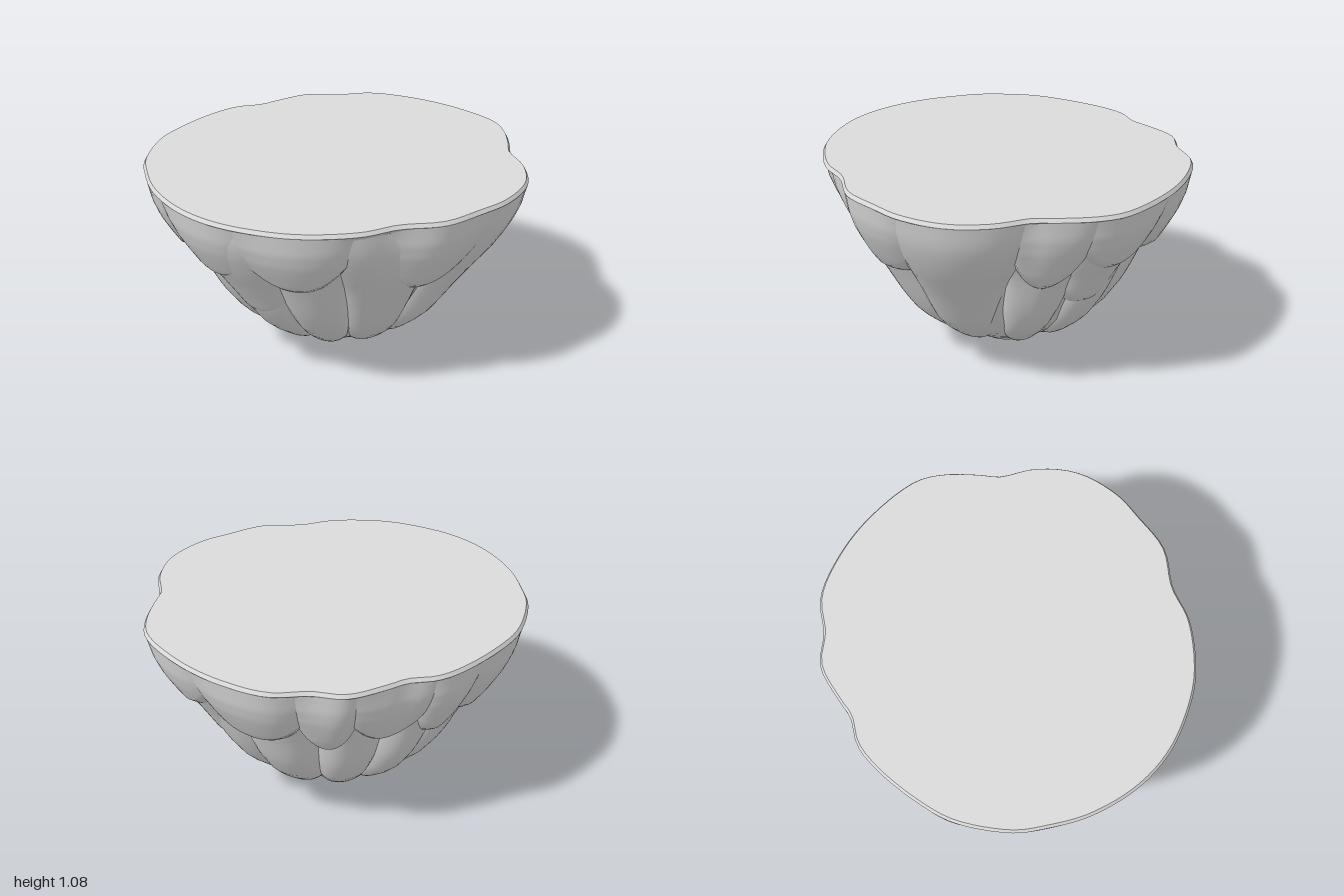
import * as THREE from 'three';
import { toCreasedNormals } from 'three/addons/utils/BufferGeometryUtils.js';

const RIM_Y = 1.06, TOP_Y = 1.08, CORE_COLS = 120;

// Rim outline seen from above, as x, z pairs
const OUTLINE = [[0.97, 0], [0.945, 0.1], [0.965, 0.3], [0.91, 0.52], [0.75, 0.71], [0.6, 0.8], [0.4, 0.9], [0.17, 0.905],
  [-0.02, 0.955], [-0.3, 0.935], [-0.48, 0.87], [-0.7, 0.73], [-0.86, 0.54], [-0.97, 0.28], [-1, 0.05], [-1, -0.1],
  [-0.91, -0.38], [-0.8, -0.53], [-0.6, -0.72], [-0.45, -0.81], [-0.3, -0.83], [-0.2, -0.88], [0, -0.955],
  [0.17, -0.92], [0.37, -0.92], [0.6, -0.8], [0.8, -0.62], [0.98, -0.35], [1, -0.2]];
const rimCurve = new THREE.CatmullRomCurve3(OUTLINE.map(([x, z]) => new THREE.Vector3(x, 0, z)), true);
const RIM = rimCurve.getPoints(300)
  .map(p => [(Math.atan2(p.z, p.x) * 180 / Math.PI + 360) % 360, Math.hypot(p.x, p.z)])
  .sort((a, b) => a[0] - b[0]);

// Radius (as a fraction of the rim) by height: bulging lobes and the core between them
const LOBE = [[0.05, 0.2], [0.1, 0.31], [0.15, 0.4], [0.2, 0.475], [0.25, 0.535], [0.3, 0.585], [0.4, 0.655], [0.5, 0.72],
  [0.65, 0.825], [0.72, 0.875], [0.8, 0.92], [0.87, 0.955], [0.95, 0.982], [1.06, 1]];
const CORE = [[0, 0.06], [0.01, 0.11], [0.03, 0.15], [0.06, 0.2], [0.1, 0.27], [0.15, 0.35], [0.2, 0.42], [0.3, 0.52],
  [0.6, 0.69], [0.9, 0.87], [1.02, 0.955], [1.06, 1]];

// Lobes: start angle, end angle, bottom height, slant in degrees, inset near the top
const UPPER = [
  [97, 128, 0.65, 0, 0], [44, 79, 0.61, 8, 0], [-12, 9, 0.6, 3, 0], [-41, -12, 0.69, 3, 0],
  [-75, -41, 0.64, 0, 0], [-93, -75, 0.6, 0, 0], [-119, -93, 0.65, 0, 0], [-138, -119, 0.6, 0, 0],
  [-168, -138, 0.6, 0, 0], [-200, -168, 0.64, 0, 0], [129, 160, 0.64, 0, 0],
];
const MIDDLE = [[-41, -11, 0.43, 3, 0.035], [121, 155, 0.37, 0, 0.015]];
const LOWER = [
  [7, 45, 0.14, 22, 0], [65, 97, 0.13, -6, 0.02], [96, 126, 0.13, -5, 0.05], [121, 152, 0.13, 0, 0.07],
  [151, 176, 0.15, 0, 0.07], [175, 200, 0.14, 0, 0.07], [199, 226, 0.13, 0, 0.07], [225, 252, 0.13, 0, 0.07],
  [251, 281, 0.13, 0, 0.07], [280, 316, 0.14, 0, 0.07], [315, 343, 0.14, 0, 0.07], [343, 371, 0.12, 6, 0.06],
];

function lookup(table, v) {
  if (v <= table[0][0]) return table[0][1];
  for (let i = 1; i < table.length; i++) {
    const [a, ra] = table[i - 1], [b, rb] = table[i];
    if (v <= b) return b === a ? rb : ra + (rb - ra) * (v - a) / (b - a);
  }
  return table[table.length - 1][1];
}

// Rim radius, becoming round towards the base
function rimAt(deg, y) {
  const h = Math.min(1, y / RIM_Y);
  return lookup(RIM, (deg + 720) % 360) * h + 0.96 * (1 - h);
}

// Point from angle, radius and height; the base leans slightly to one side
function place(deg, r, y) {
  const a = deg * Math.PI / 180;
  return [Math.cos(a) * r + 0.04 * (1 - y / TOP_Y) ** 2, y, Math.sin(a) * r];
}

// Skin over rows of points, ordered from the bottom up
function skin(rows, crease) {
  const n = rows[0].length, index = [];
  for (let i = 0; i < rows.length - 1; i++) {
    for (let c = 0; c < n - 1; c++) {
      const a = i * n + c, b = a + 1, d = a + n, e = d + 1;
      index.push(a, d, b, b, d, e);
    }
  }
  const g = new THREE.BufferGeometry();
  g.setAttribute('position', new THREE.Float32BufferAttribute(rows.flat(2), 3));
  g.setIndex(index);
  return toCreasedNormals(g, crease);
}

// One bulging lobe with a blunt lower end that tucks back into the core
function lobeGeometry([from, to, bottom, slant, inset]) {
  const COLS = 16, ROWS = 16, rows = [];
  const half = (to - from) / 2, rise = bottom > 0.3 ? 0.13 : 0.05;
  // Tucked underside rows: drop in height, drop in radius
  const steps = [[0.1, 0.22], [0.05, 0.08], [0.025, 0.035]];
  for (let i = -steps.length; i <= ROWS; i++) {
    const row = [];
    for (let c = 0; c <= COLS; c++) {
      const u = (c / COLS * 2 - 1) * 1.2;
      const low = bottom + 0.05 + rise * u * u;
      const base = low + (RIM_Y - low) * Math.max(0, i) / ROWS;
      const [dy, dr] = i < 0 ? steps[i + steps.length] : [0, 0];
      const h = base / RIM_Y;
      const deg = (from + to) / 2 + slant * (1 - h) + u * half * 1.04;
      const valley = 0.012 + 0.06 * Math.min(1, (1 - h) * 2.5);
      const fade = THREE.MathUtils.smoothstep(base, 0.4, 0.8);
      const r = rimAt(deg, base) * lookup(LOBE, base) - inset * fade
        - valley * (0.6 * u * u + 0.4 * u ** 4) - dr;
      row.push(place(deg, Math.max(0.03, r), Math.max(0.03, base - dy)));
    }
    rows.push(row);
  }
  return skin(rows, 0.6);
}

export function createModel() {
  const stone = new THREE.MeshStandardMaterial({ color: 0xdadada });
  stone.name = 'grey stone';
  const group = new THREE.Group();
  group.name = 'rock';
  const add = (geometry, name) => {
    const mesh = new THREE.Mesh(geometry, stone);
    mesh.name = name;
    group.add(mesh);
  };

  // Core with a closed tip below and a thin bevel at the rim
  const ring = (y, radiusAt) => Array.from({ length: CORE_COLS + 1 }, (_, c) => {
    const deg = c / CORE_COLS * 360;
    return place(deg, radiusAt(deg), y);
  });
  const rows = [ring(0, () => 0)];
  for (const [y, f] of CORE) rows.push(ring(y, deg => rimAt(deg, y) * f));
  const rim = ring(TOP_Y, deg => rimAt(deg, RIM_Y) - 0.012);
  rows.push(rim);
  add(skin(rows, 0.6), 'core');

  // Flat top
  const top = new THREE.ShapeGeometry(new THREE.Shape(rim.slice(0, -1).map(([x, , z]) => new THREE.Vector2(x, -z))));
  top.rotateX(-Math.PI / 2).translate(0, TOP_Y, 0);
  add(top, 'flatTop');

  // Overlapping tiers of lobes
  for (const [name, tier] of [['upperLobe', UPPER], ['middleLobe', MIDDLE], ['lowerLobe', LOWER]]) {
    tier.forEach((lobe, i) => add(lobeGeometry(lobe), name + (i + 1)));
  }
  return group;
}
